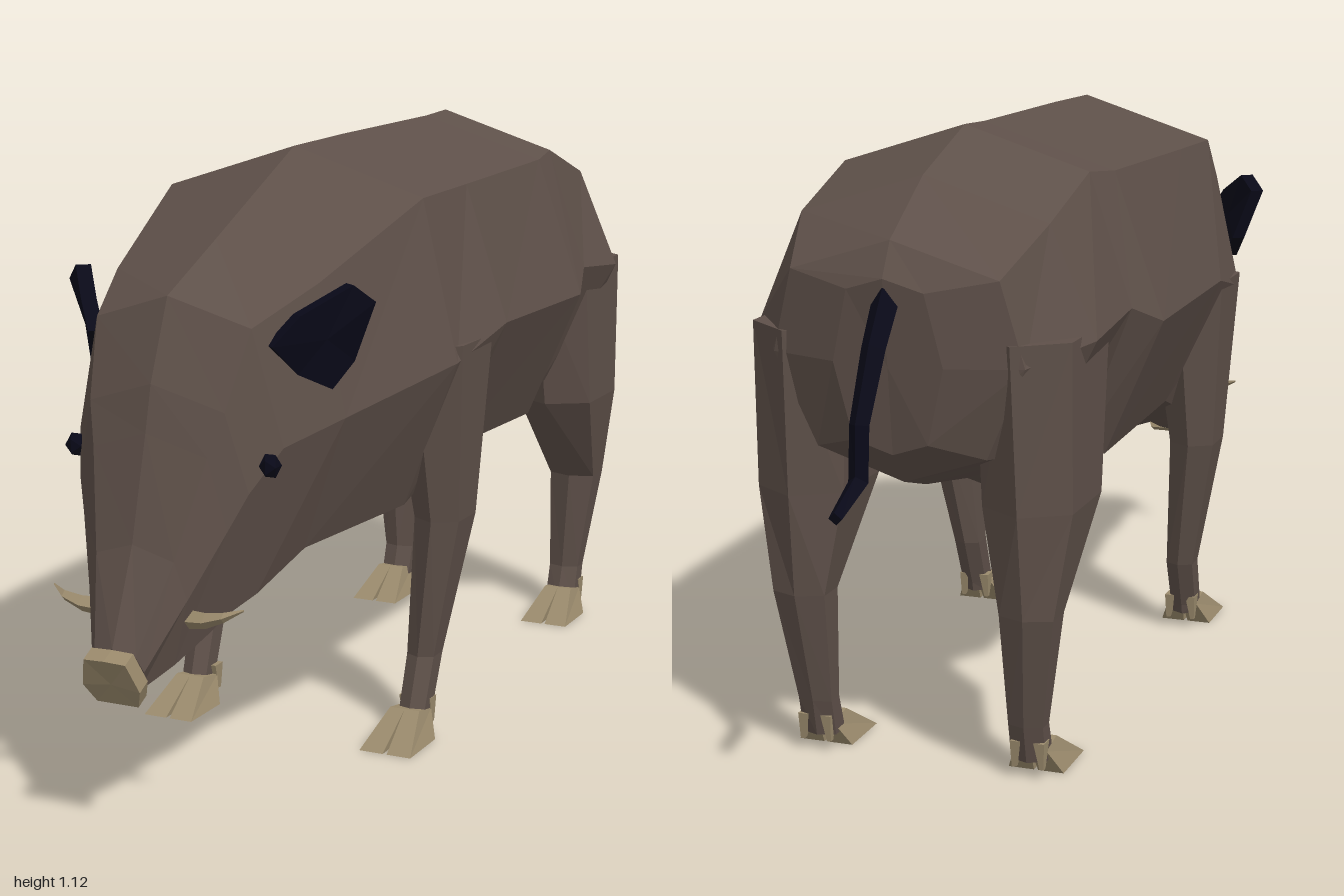
import * as THREE from 'three';

const hide = new THREE.MeshStandardMaterial({ color: 0x5e5049 });
hide.name = 'brownHide';
const horn = new THREE.MeshStandardMaterial({ color: 0x9a8a6c });
horn.name = 'tanHorn';
const dark = new THREE.MeshStandardMaterial({ color: 0x090918 });
dark.name = 'darkNavy';

// Faceted, capped skin over a list of equal-length rings of [x, y, z]
function loft(rings) {
  const tris = [];
  const n = rings[0].length;
  for (let i = 0; i < rings.length - 1; i++) {
    for (let j = 0; j < n; j++) {
      const k = (j + 1) % n, a = rings[i], b = rings[i + 1];
      tris.push([a[j], a[k], b[k]], [a[j], b[k], b[j]]);
    }
  }
  const cap = (ring, flip) => {
    const c = [0, 1, 2].map(d => ring.reduce((s, p) => s + p[d], 0) / n);
    for (let j = 0; j < n; j++) {
      const k = (j + 1) % n;
      tris.push(flip ? [c, ring[k], ring[j]] : [c, ring[j], ring[k]]);
    }
  };
  cap(rings[0], true);
  cap(rings[rings.length - 1], false);
  // Turn the faces outward when the enclosed volume comes out negative
  const vec = p => new THREE.Vector3(...p);
  const volume = tris.reduce((s, [a, b, c]) => s + vec(a).dot(vec(b).cross(vec(c))), 0);
  if (volume < 0) tris.forEach(t => t.reverse());
  const geo = new THREE.BufferGeometry();
  geo.setAttribute('position', new THREE.Float32BufferAttribute(tris.flat(2), 3));
  geo.computeVertexNormals();
  return geo;
}

// Half ring from top centre to bottom centre, mirrored to a full ring
const fullRing = half => [...half, ...half.slice(1, -1).reverse().map(([x, y, z]) => [-x, y, z])];

// Eight-sided body section: back ridge, widest line and belly edge follow from a few sizes
function bodyRing([zTop, zLow, top, ridge, wide, wideY, bottom]) {
  const half = [[0, top], [ridge, top - 0.32 * ridge], [wide, wideY],
    [0.68 * wide, bottom + 0.24 * wide], [0, bottom]];
  return fullRing(half.map(([x, y], i) => [x, y, zTop + (zLow - zTop) * i / 4]));
}

// Six-sided level leg section
function legRing([y, xi, xo, zb, zf]) {
  const m = (xi + xo) / 2, d = (zf - zb) * 0.2;
  return [[m, y, zf], [xo, y, zf - d], [xo, y, zb + d], [m, y, zb], [xi, y, zb + d], [xi, y, zf - d]];
}

export function createModel() {
  const model = new THREE.Group();
  model.name = 'boar';
  const add = (name, rings, material) => {
    const mesh = new THREE.Mesh(loft(rings), material);
    mesh.name = name;
    model.add(mesh);
  };
  const addPair = (name, rings, material) => {
    add('left' + name, rings, material);
    add('right' + name, rings.map(r => r.map(([x, y, z]) => [-x, y, z])), material);
  };

  // Trunk and head, rump to muzzle: top z, low z, top y, ridge x, widest x, widest y, bottom y
  add('body', [
    [-0.785, -0.75, 0.91, 0.07, 0.1, 0.76, 0.6],
    [-0.75, -0.7, 0.97, 0.19, 0.23, 0.76, 0.54],
    [-0.6, -0.6, 1.06, 0.23, 0.315, 0.79, 0.51],
    [-0.4, -0.4, 1.125, 0.235, 0.315, 0.81, 0.47],
    [-0.3, -0.3, 1.12, 0.25, 0.345, 0.77, 0.43],
    [0.1, 0.1, 1.115, 0.26, 0.345, 0.775, 0.44],
    [0.3, 0.3, 1.11, 0.26, 0.33, 0.73, 0.375],
    [0.6, 0.6, 0.975, 0.2, 0.25, 0.68, 0.38],
    [0.77, 0.7, 0.9, 0.15, 0.2, 0.65, 0.335],
    [0.83, 0.76, 0.76, 0.13, 0.165, 0.58, 0.32],
    [0.85, 0.8, 0.68, 0.11, 0.14, 0.52, 0.3],
    [0.9, 0.87, 0.5, 0.075, 0.095, 0.41, 0.27],
    [0.97, 0.935, 0.338, 0.04, 0.05, 0.3, 0.25],
  ].map(bodyRing), hide);

  // Snout disc
  const disc = [[0, 0.338, 0.972], [0.04, 0.336, 0.97], [0.055, 0.285, 0.95], [0.04, 0.252, 0.93], [0, 0.252, 0.93]];
  add('snout', [disc, disc.map(([x, y, z]) => [x, y - 0.013, z + 0.026])].map(fullRing), horn);

  // Legs: height, inner x, outer x, back z, front z
  addPair('FrontLeg', [
    [0.76, 0.18, 0.335, 0.1, 0.335], [0.42, 0.225, 0.315, 0.145, 0.28],
    [0.15, 0.21, 0.265, 0.195, 0.265], [0.05, 0.21, 0.262, 0.235, 0.3], [0.03, 0.212, 0.26, 0.24, 0.31],
  ].map(legRing), hide);
  addPair('HindLeg', [
    [0.8, 0.12, 0.295, -0.74, -0.4], [0.5, 0.13, 0.295, -0.72, -0.455],
    [0.31, 0.165, 0.265, -0.7, -0.605], [0.1, 0.17, 0.235, -0.66, -0.605], [0.03, 0.17, 0.235, -0.645, -0.58],
  ].map(legRing), hide);

  // Cloven hooves with dewclaws
  const rect = (x0, x1, y0, y1, z0, z1) => [[x0, y0, z0], [x1, y0, z0], [x1, y1, z1], [x0, y1, z1]];
  for (const [name, cx, z] of [['Front', 0.232, 0.235], ['Hind', 0.205, -0.65]]) {
    for (const [toe, s] of [['Outer', 1], ['Inner', -1]]) {
      addPair(name + toe + 'Toe', [
        rect(cx, cx + s * 0.03, 0.05, 0.06, z + 0.02, z + 0.075),
        rect(cx + s * 0.004, cx + s * 0.052, 0, 0, z + 0.05, z + 0.165),
      ], horn);
      addPair(name + toe + 'Dewclaw', [
        rect(cx + s * 0.012, cx + s * 0.032, 0.07, 0.07, z, z + 0.03),
        rect(cx + s * 0.022, cx + s * 0.03, 0.02, 0.02, z + 0.005, z + 0.015),
      ], horn);
    }
  }

  // Ears: a tilted leaf outline given a little thickness
  const leaf = [[0.18, 0.82, 0.735], [0.215, 0.87, 0.7], [0.275, 0.915, 0.62], [0.305, 0.885, 0.595],
    [0.265, 0.78, 0.595], [0.24, 0.735, 0.63], [0.2, 0.765, 0.68]];
  addPair('Ear', [leaf, leaf.map(([x, y, z]) => [x - 0.022, y, z - 0.016])], dark);

  // Eyes
  for (const s of [1, -1]) {
    const eye = new THREE.Mesh(new THREE.IcosahedronGeometry(0.022, 0), dark);
    eye.name = s > 0 ? 'leftEye' : 'rightEye';
    eye.position.set(s * 0.19, 0.625, 0.765);
    eye.scale.set(0.85, 1.05, 1);
    model.add(eye);
  }

  // Tusks sweep outward to a point
  const tuskRing = ([x, y, z, r]) => [[x, y + r, z], [x, y, z + r], [x, y - r, z], [x, y, z - r]];
  addPair('Tusk', [[0.07, 0.37, 0.86, 0.018], [0.12, 0.375, 0.87, 0.014], [0.155, 0.385, 0.87, 0.009],
    [0.185, 0.397, 0.855, 0.002]].map(tuskRing), horn);

  // Tail hangs in a bent line with a kinked tip
  const tailRing = ([y, z, r, ny, nz]) =>
    [[r, y, z], [0, y + r * ny, z + r * nz], [-r, y, z], [0, y - r * ny, z - r * nz]];
  add('tail', [[0.88, -0.765, 0.025, 0.6, -0.8], [0.8, -0.825, 0.022, 0.5, -0.87], [0.685, -0.888, 0.018, 0.2, -0.98],
    [0.59, -0.896, 0.018, 0.7, -0.7], [0.553, -0.99, 0.012, 0.95, -0.3]].map(tailRing), dark);

  return model;
}
